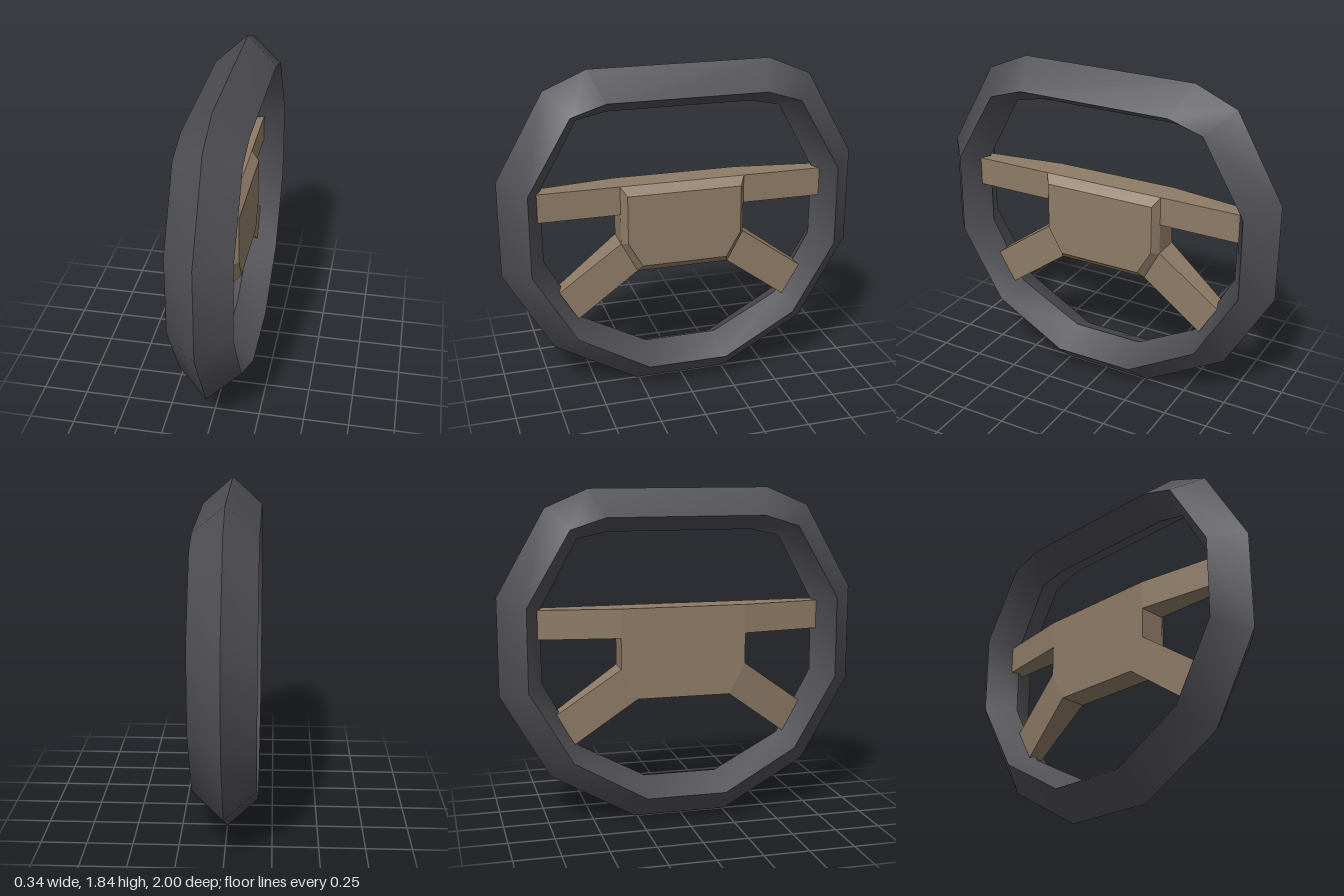
import * as THREE from 'three';

const rimMat = new THREE.MeshStandardMaterial({ color: 0x4f4e53 });
rimMat.name = 'charcoal grip';
const hubMat = new THREE.MeshStandardMaterial({ color: 0x8e7b66 });
hubMat.name = 'warm tan';

// Half outline of [z, y] points, completed by mirroring in z
const mirrorLoop = half => [...half, ...half.map(([z, y]) => [-z, y]).reverse()];
const atX = (loop, x) => loop.map(([z, y]) => [x, y, z]);

function mesh(geometry, material, name) {
  const m = new THREE.Mesh(geometry, material);
  m.name = name;
  return m;
}

// Capped, flat-faced solid through matching loops, ordered from back to front (+x)
function solid(rings) {
  const pos = [];
  const tri = (...pts) => pts.forEach(p => pos.push(...p));
  const n = rings[0].length;
  for (let r = 0; r + 1 < rings.length; r++) {
    const a = rings[r], b = rings[r + 1];
    for (let i = 0; i < n; i++) {
      const j = (i + 1) % n;
      tri(a[i], a[j], b[j]);
      tri(a[i], b[j], b[i]);
    }
  }
  const back = rings[0], front = rings[rings.length - 1];
  for (let i = 1; i + 1 < n; i++) {
    tri(front[0], front[i], front[i + 1]);
    tri(back[0], back[i + 1], back[i]);
  }
  const g = new THREE.BufferGeometry();
  g.setAttribute('position', new THREE.Float32BufferAttribute(pos, 3));
  g.computeVertexNormals();
  return g;
}

// One rim face, smooth around the loop and sharp at its borders
function band(a, b) {
  const n = a.length, index = [];
  for (let i = 0; i < n; i++) {
    const j = (i + 1) % n;
    index.push(i, j, n + j, i, n + j, n + i);
  }
  const g = new THREE.BufferGeometry();
  g.setAttribute('position', new THREE.Float32BufferAttribute([...a, ...b].flat(), 3));
  g.setIndex(index);
  g.computeVertexNormals();
  return g;
}

export function createModel() {
  const model = new THREE.Group();
  model.name = 'steeringWheel';

  // Rim: diamond cross-section swept around a twelve-sided outline
  const outer = mirrorLoop([[0.5, 1.835], [0.735, 1.735], [1, 1.27], [1, 0.735], [0.735, 0.27], [0.265, 0]]);
  const middle = mirrorLoop([[0.435, 1.69], [0.625, 1.63], [0.86, 1.23], [0.86, 0.78], [0.625, 0.38], [0.225, 0.15]]);
  const inner = mirrorLoop([[0.4, 1.605], [0.565, 1.57], [0.77, 1.2], [0.77, 0.795], [0.575, 0.435], [0.205, 0.235]]);
  const loops = [atX(outer, 0), atX(middle, 0.17), atX(inner, 0), atX(middle, -0.17)];
  const names = ['rimOuterFront', 'rimInnerFront', 'rimInnerBack', 'rimOuterBack'];
  const rim = new THREE.Group();
  rim.name = 'rim';
  names.forEach((name, i) => rim.add(mesh(band(loops[i], loops[(i + 1) % 4]), rimMat, name)));
  model.add(rim);

  // Hub with a bevelled front
  const base = mirrorLoop([[0.35, 1.2], [0.35, 0.87], [0.26, 0.7]]);
  const face = mirrorLoop([[0.32, 1.155], [0.32, 0.885], [0.24, 0.745]]);
  model.add(mesh(solid([atX(base, -0.1), atX(base, 0.054), atX(face, 0.1)]), hubMat, 'hub'));

  // Spokes: flat in front, thinning towards the rim at the back
  const spokes = {
    upperSpoke: [[0.35, 1.2], [0.8, 1.2], [0.8, 1.04], [0.35, 1.04]],
    lowerSpoke: [[0.35, 0.87], [0.7, 0.62], [0.6, 0.45], [0.26, 0.7]],
  };
  const backX = [-0.1, -0.035, -0.035, -0.1];
  for (const [name, outline] of Object.entries(spokes)) {
    const back = outline.map(([z, y], i) => [backX[i], y, z]);
    const front = atX(outline, 0.054);
    const flip = loop => loop.map(([x, y, z]) => [x, y, -z]).reverse();
    model.add(mesh(solid([back, front]), hubMat, name + 'A'));
    model.add(mesh(solid([flip(back), flip(front)]), hubMat, name + 'B'));
  }
  return model;
}
